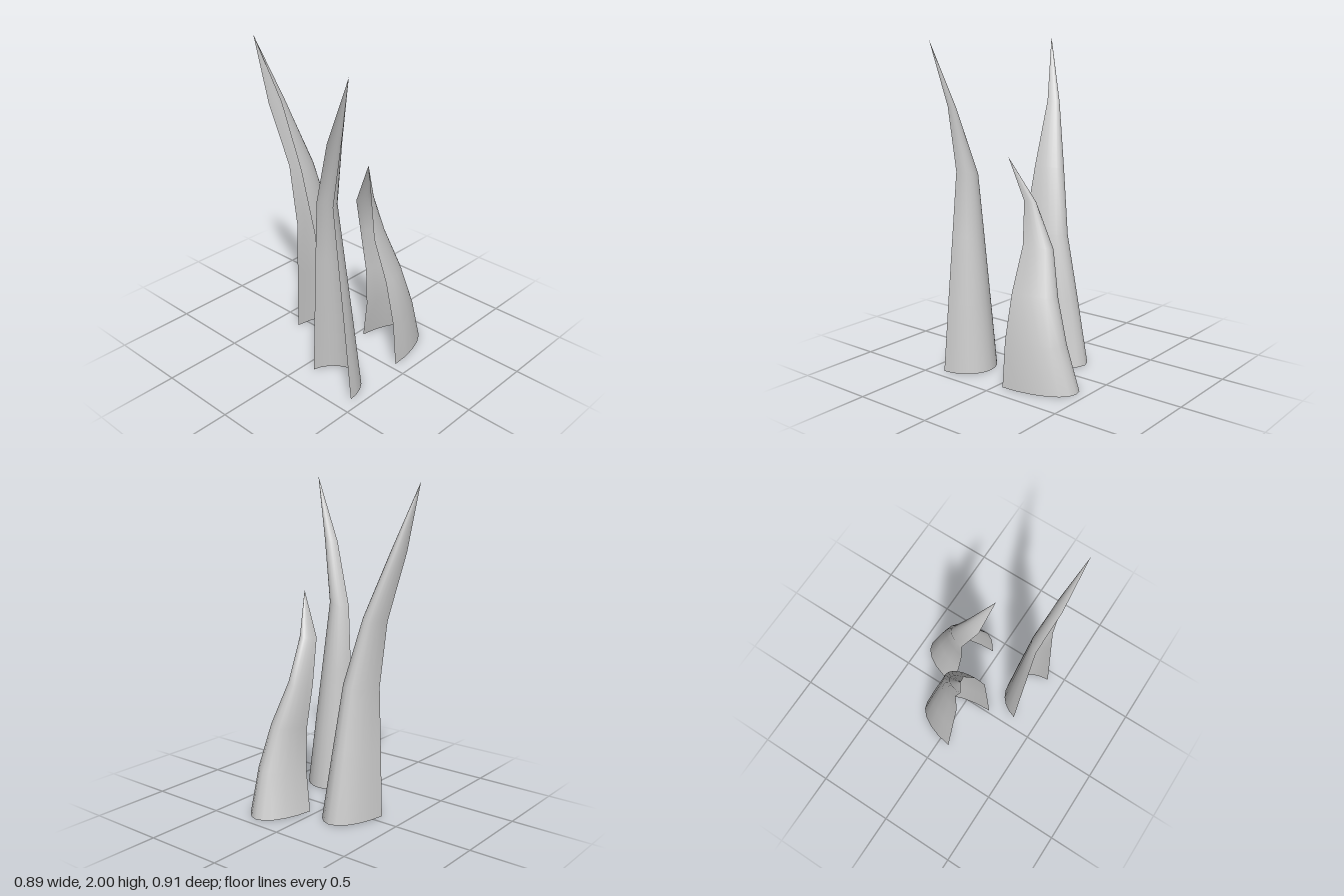
import * as THREE from 'three';

const material = new THREE.MeshStandardMaterial({ color: 0xcccccc, side: THREE.DoubleSide });
const SEGMENTS = 11; // 15 degree steps, from +90 to -75 degrees
const RINGS = 5;

// Open half-shell tapering linearly to a point; spine gives the [x, z] centre of each ring
function createHorn(name, height, rx, rz, spine, skew) {
  const positions = [];
  const indices = [];
  for (let i = 0; i <= RINGS; i++) {
    const taper = 1 - i / RINGS;
    const lean = i === 4 ? 1 : 0; // the last ring is skewed as the tip curls over
    const tilt = i === 0 ? 0 : 0.3 * i / RINGS;
    for (let j = 0; j <= SEGMENTS; j++) {
      const angle = Math.PI / 2 - j * Math.PI / 12;
      const dx = rx * taper * Math.cos(angle);
      const dz = rz * taper * Math.sin(angle);
      positions.push(
        spine[i][0] + dx + lean * skew * dz,
        height * i / RINGS + (i === 0 ? 0 : 0.015 * height / 2 * taper) + tilt * dz,
        spine[i][1] + dz - lean * 0.2 * dx
      );
    }
  }
  const row = SEGMENTS + 1;
  for (let i = 0; i < RINGS; i++) {
    for (let j = 0; j < SEGMENTS; j++) {
      const a = i * row + j;
      indices.push(a, a + 1, a + row);
      if (i < RINGS - 1) indices.push(a + 1, a + row + 1, a + row);
    }
  }
  const geometry = new THREE.BufferGeometry();
  geometry.setAttribute('position', new THREE.Float32BufferAttribute(positions, 3));
  geometry.setIndex(indices);
  geometry.computeVertexNormals();
  const mesh = new THREE.Mesh(geometry, material);
  mesh.name = name;
  return mesh;
}

export function createModel() {
  const group = new THREE.Group();
  group.name = 'hornShells';
  group.add(
    // Tall narrow shell curling forward
    createHorn('rightHorn', 2, 0.215, 0.185,
      [[-0.4, 0.25], [-0.4, 0.24], [-0.4, 0.23], [-0.4, 0.221], [-0.42, 0.32], [-0.445, 0.453]], 0.55),
    // Tall wide shell curling backward
    createHorn('backHorn', 2, 0.4, 0.185,
      [[-0.175, -0.168], [-0.175, -0.175], [-0.175, -0.181], [-0.175, -0.252], [-0.212, -0.355], [-0.26, -0.453]], 0.7),
    // Short wide shell with a bent tip
    createHorn('leftHorn', 1.335, 0.4, 0.185,
      [[0.042, 0.22], [0.042, 0.23], [0.042, 0.203], [0.042, 0.138], [0.002, 0.152], [-0.044, 0.235]], 0.9)
  );
  return group;
}
